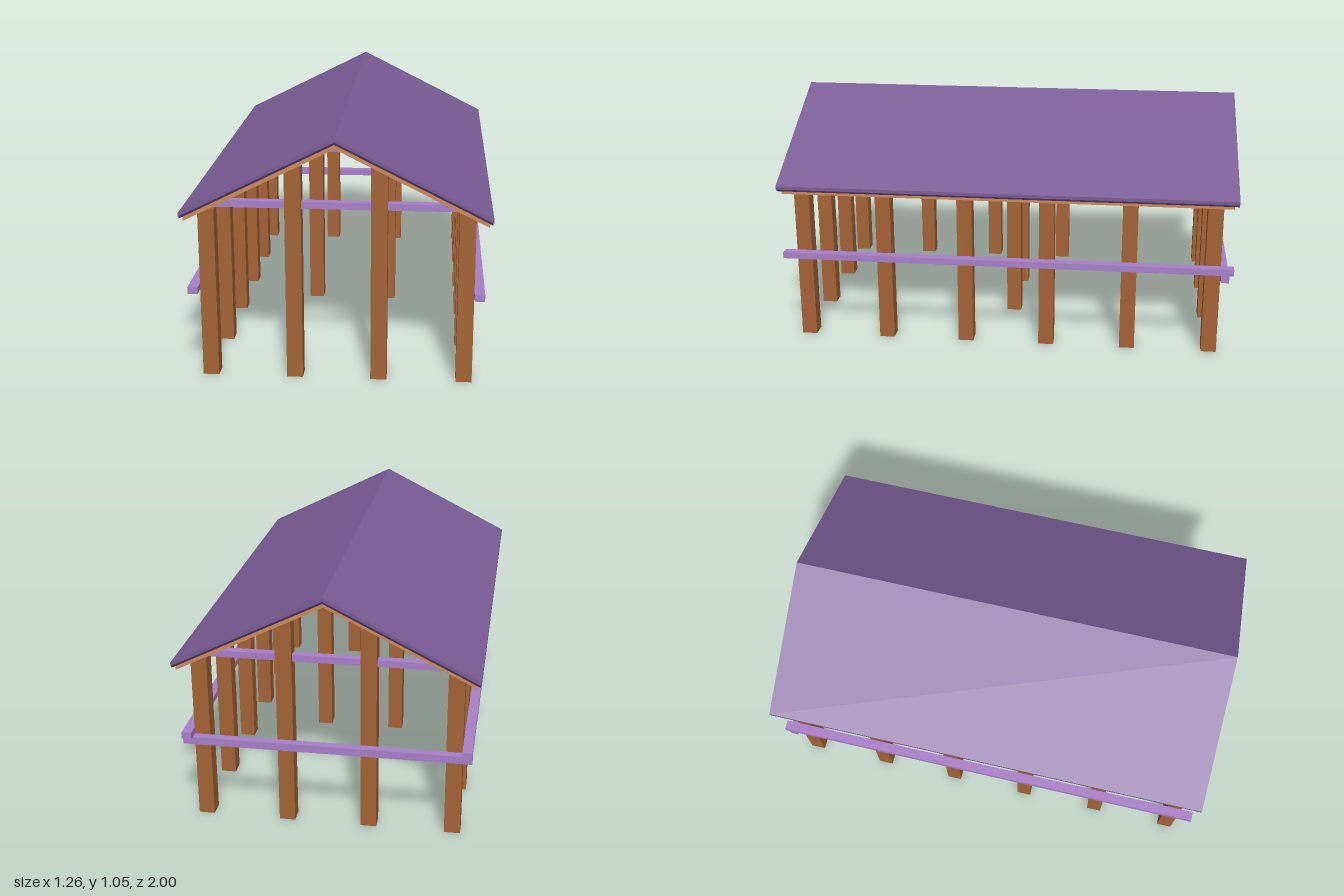
import * as THREE from 'three';

const material = (name, color) => {
  const m = new THREE.MeshStandardMaterial({ color });
  m.name = name;
  return m;
};

export function createModel() {
  const group = new THREE.Group();
  const postWood = material('post brown', 0xa46335);
  const deckWood = material('deck orange', 0xd08a5a);
  const roofPurple = material('roof purple', 0x7a5c96);
  const underlayPurple = material('underlay dark purple', 0x43305a);
  const railPurple = material('rail purple', 0xa97fc9);

  const add = (name, geometry, mat, x = 0, y = 0, z = 0) => {
    const mesh = new THREE.Mesh(geometry, mat);
    mesh.name = name;
    mesh.position.set(x, y, z);
    group.add(mesh);
  };
  const box = (name, mat, w, h, d, x, y, z) =>
    add(name, new THREE.BoxGeometry(w, h, d), mat, x, y, z);

  // Gabled layer: a chevron section run along z
  const SLOPE = 0.503;
  const gableLayer = (name, mat, half, bottom, top, length) => {
    const drop = half * SLOPE;
    const section = new THREE.Shape([
      [-half, bottom - drop], [0, bottom], [half, bottom - drop],
      [half, top - drop], [0, top], [-half, top - drop],
    ].map(([x, y]) => new THREE.Vector2(x, y)));
    const geometry = new THREE.ExtrudeGeometry(section, { depth: length, bevelEnabled: false });
    add(name, geometry.translate(0, 0, -length / 2), mat);
  };

  // Roof
  gableLayer('roofDeck', deckWood, 0.615, 1.0, 1.022, 1.96);
  gableLayer('roofUnderlay', underlayPurple, 0.627, 1.022, 1.032, 1.996);
  gableLayer('roofCovering', roofPurple, 0.63, 1.032, 1.047, 2.0);

  // Posts: six along each side, a taller pair at both gables and the middle
  const END = 0.907, W = 0.067;
  for (const side of [-1, 1]) {
    for (let i = 0; i < 6; i++) {
      box('sidePost', postWood, W, 0.73, W, side * 0.53, 0.365, -END + (i * 2 * END) / 5);
    }
    for (const z of [-END, 0, END]) {
      box('innerPost', postWood, W, 0.915, W, side * 0.175, 0.4575, z);
    }
    // Side rail on the outer faces of the posts
    box('sideRail', railPurple, 0.042, 0.028, 1.99, side * 0.584, 0.397, 0);
  }

  // Back rail below the side rails
  box('backRail', railPurple, 1.21, 0.033, 0.036, 0, 0.3665, -0.958);

  // Tie beams under the roof
  for (const z of [-END, 0, END]) {
    box('tieBeam', railPurple, 1.02, 0.028, 0.036, 0, 0.75, z);
  }

  return group;
}
